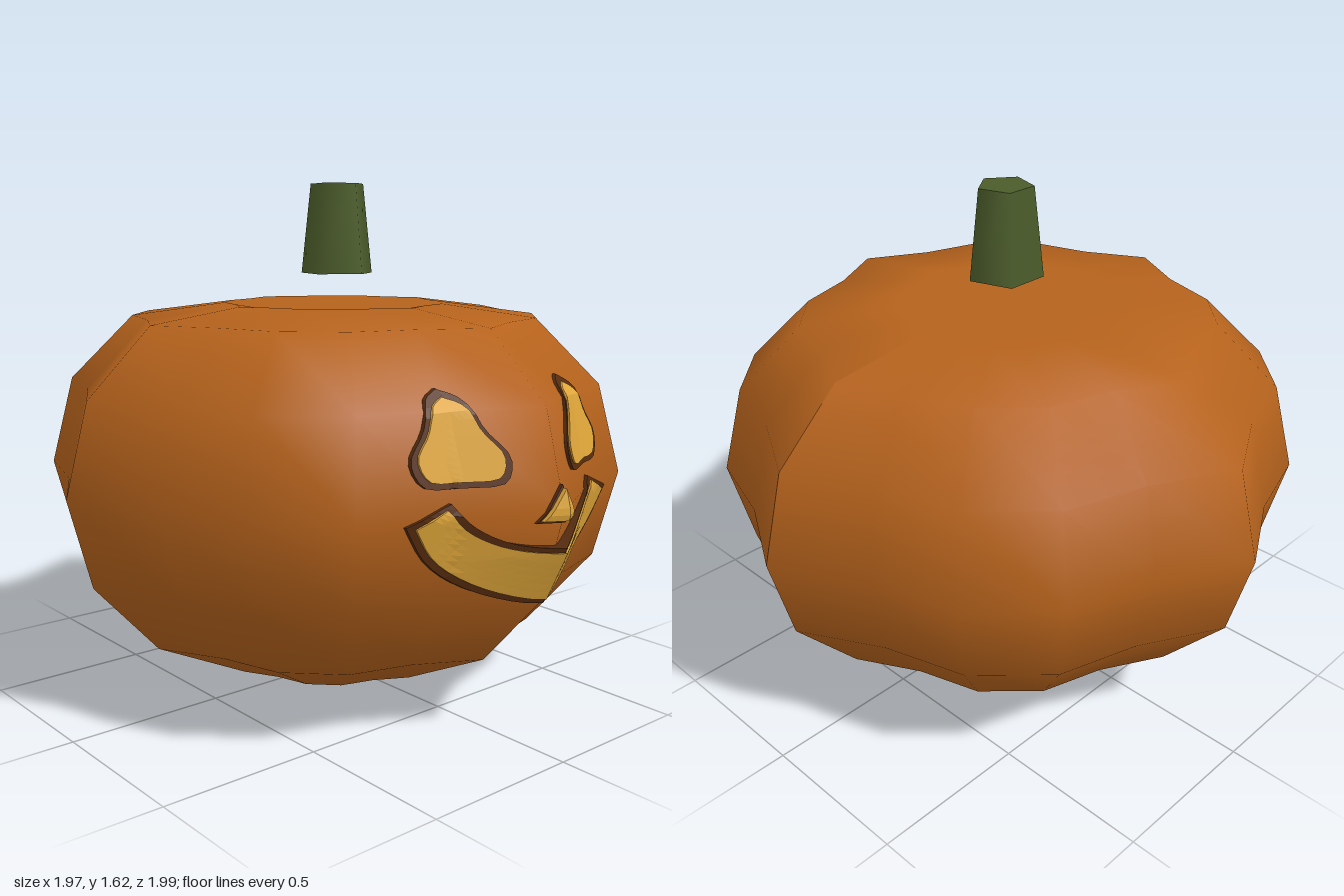
import * as THREE from 'three';

// Horizontal outline: 20 spokes, with a cusp on each quarter turn
const SPOKES = 20;
const SPOKE_RADII = [0.985, 0.88, 0.93, 0.93, 0.88];
const ZC = -0.01;

// Body profile from the bottom point to the dimple: [scale, height]
const PROFILE = [
  [0, 0], [0.383, 0.055], [0.707, 0.21], [0.924, 0.445], [1, 0.72],
  [0.924, 0.997], [0.707, 1.2], [0.383, 1.24], [0, 1.18],
];

const spoke = (j) => {
  const a = (j / SPOKES) * Math.PI * 2;
  const r = SPOKE_RADII[j % 5];
  return [r * Math.cos(a), r * Math.sin(a)];
};

function bodyGeometry() {
  const last = PROFILE.length - 1;
  const pos = [];
  const index = [];
  const row = SPOKES + 1;
  pos.push(0, PROFILE[0][1], ZC);
  for (let i = 1; i < last; i++) {
    const [s, y] = PROFILE[i];
    for (let j = 0; j <= SPOKES; j++) {
      const [x, z] = spoke(j);
      pos.push(x * s, y, z * s + ZC);
    }
  }
  pos.push(0, PROFILE[last][1], ZC);
  const id = (i, j) => (i === 0 ? 0 : i === last ? 1 + (last - 1) * row : 1 + (i - 1) * row + j);
  for (let i = 0; i < last; i++) {
    for (let j = 0; j < SPOKES; j++) {
      if (i < last - 1) index.push(id(i, j), id(i + 1, j), id(i + 1, j + 1));
      if (i > 0) index.push(id(i, j), id(i + 1, j + 1), id(i, j + 1));
    }
  }
  const g = new THREE.BufferGeometry();
  g.setAttribute('position', new THREE.Float32BufferAttribute(pos, 3));
  g.setIndex(index);
  g.computeVertexNormals();
  return g;
}

// Front z of the body at (x, y)
function surfaceZ(x, y) {
  let i = 1;
  while (i < 6 && y > PROFILE[i + 1][1]) i++;
  const [s0, y0] = PROFILE[i];
  const [s1, y1] = PROFILE[i + 1];
  const s = THREE.MathUtils.mapLinear(y, y0, y1, s0, s1);
  const u = Math.abs(x) / s;
  let j = 5; // the spoke at +z
  while (j > 2 && u > spoke(j - 1)[0]) j--;
  const [xa, za] = spoke(j);
  const [xb, zb] = spoke(j - 1);
  return THREE.MathUtils.mapLinear(u, xa, xb, za, zb) * s + ZC;
}

const curve = (pts) => new THREE.CatmullRomCurve3(pts.map(([x, y]) => new THREE.Vector3(x, y, 0)));

// Raised patch between edge curves a and b, draped on the body, with a rim turned inward
function patch(name, material, a, b, lift, n = 16, m = 6) {
  const ca = curve(a);
  const cb = curve(b);
  const pos = [];
  const index = [];
  const w = m + 3;
  for (let i = -1; i <= n + 1; i++) {
    const t = THREE.MathUtils.clamp(i / n, 0, 1);
    const pa = ca.getPoint(t);
    const pb = cb.getPoint(t);
    for (let j = -1; j <= m + 1; j++) {
      const p = pa.clone().lerp(pb, THREE.MathUtils.clamp(j / m, 0, 1));
      const rim = i < 0 || i > n || j < 0 || j > m;
      pos.push(p.x, p.y, surfaceZ(p.x, p.y) + (rim ? -0.01 : lift(p.x, p.y)));
    }
  }
  for (let i = 0; i < n + 2; i++) {
    for (let j = 0; j < w - 1; j++) {
      const k = i * w + j;
      index.push(k, k + w, k + w + 1, k, k + w + 1, k + 1);
    }
  }
  const g = new THREE.BufferGeometry();
  g.setAttribute('position', new THREE.Float32BufferAttribute(pos, 3));
  g.setIndex(index);
  g.computeVertexNormals();
  const mesh = new THREE.Mesh(g, material);
  mesh.name = name;
  return mesh;
}

const mirror = (pts) => pts.map(([x, y]) => [-x, y]);
const scaleAbout = (pts, cx, cy, k) => pts.map(([x, y]) => [cx + (x - cx) * k, cy + (y - cy) * k]);
// Completes a half curve that ends on x = 0
const whole = (pts) => [...pts, ...mirror(pts.slice(0, -1)).reverse()];

export function createModel() {
  const group = new THREE.Group();
  group.name = 'carvedPumpkin';
  const skin = new THREE.MeshStandardMaterial({ color: 0xb5621c });
  const stalk = new THREE.MeshStandardMaterial({ color: 0x4b5c2a });
  const glow = new THREE.MeshStandardMaterial({ color: 0xdfa63a, flatShading: true, side: THREE.DoubleSide });
  const cut = new THREE.MeshStandardMaterial({ color: 0x552b0f, flatShading: true, side: THREE.DoubleSide });

  const body = new THREE.Mesh(bodyGeometry(), skin);
  body.name = 'body';
  group.add(body);

  // Five-sided stem floating just above the dimple
  const stem = new THREE.Mesh(new THREE.CylinderGeometry(0.09, 0.122, 0.287, 5), stalk);
  stem.name = 'stem';
  stem.position.set(0.015, 1.477, -0.01);
  group.add(stem);

  // Eyes: glowing centre on a dark cut edge
  const eyeOuter = [[-0.25, 1.053], [-0.3, 1.025], [-0.335, 0.945], [-0.382, 0.87], [-0.355, 0.805], [-0.25, 0.797]];
  const eyeInner = [[-0.25, 1.053], [-0.205, 1.03], [-0.172, 0.95], [-0.118, 0.87], [-0.14, 0.805], [-0.25, 0.797]];
  for (const [name, k, h, mat] of [['EyeRim', 1, 0.012, cut], ['Eye', 0.86, 0.018, glow]]) {
    const a = scaleAbout(eyeOuter, -0.25, 0.912, k);
    const b = scaleAbout(eyeInner, -0.25, 0.912, k);
    group.add(patch('right' + name, mat, a, b, () => h));
    group.add(patch('left' + name, mat, mirror(b), mirror(a), () => h));
  }

  // Nose
  const noseSide = (w, top, base) => [[0, top], [-w, base]];
  for (const [name, w, top, base, h, mat] of [
    ['noseRim', 0.07, 0.795, 0.69, 0.01, cut], ['nose', 0.062, 0.785, 0.697, 0.022, glow]]) {
    const side = noseSide(w, top, base);
    group.add(patch(name, mat, side, mirror(side), () => h, 6, 4));
  }

  // Mouth: bulges most at the middle of the upper lip
  const bulge = (h) => (x, y) =>
    h + 0.03 * Math.max(0, 1 - Math.abs(x) / 0.3) * THREE.MathUtils.clamp((y - 0.45) / 0.15, 0, 1);
  group.add(patch('mouthRim', cut,
    whole([[-0.417, 0.705], [-0.345, 0.6], [-0.25, 0.525], [-0.13, 0.47], [0, 0.443]]),
    whole([[-0.285, 0.757], [-0.245, 0.705], [-0.18, 0.66], [-0.1, 0.63], [0, 0.62]]),
    bulge(0.01), 24, 6));
  group.add(patch('mouth', glow,
    whole([[-0.39, 0.698], [-0.33, 0.61], [-0.24, 0.54], [-0.13, 0.487], [0, 0.457]]),
    whole([[-0.3, 0.742], [-0.255, 0.687], [-0.185, 0.643], [-0.1, 0.615], [0, 0.605]]),
    bulge(0.016), 24, 6));

  return group;
}
